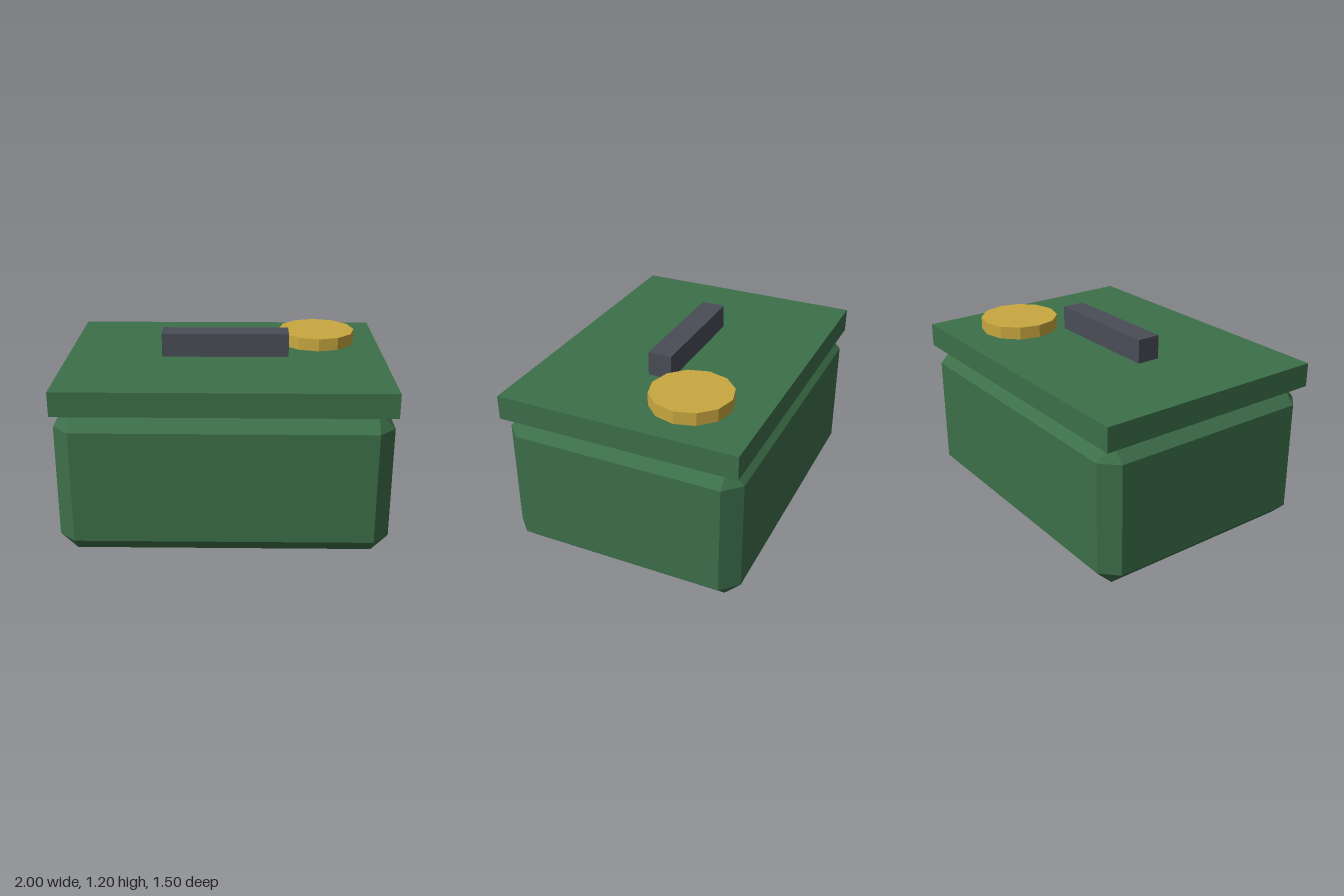
import * as THREE from 'three';
import { ConvexGeometry } from 'three/addons/geometries/ConvexGeometry.js';

// Box with every edge cut at 45 degrees
function chamferedBox(w, h, d, c) {
  const points = [];
  for (const sx of [-1, 1]) for (const sy of [-1, 1]) for (const sz of [-1, 1]) {
    const corner = new THREE.Vector3(sx * w / 2, sy * h / 2, sz * d / 2);
    const inner = new THREE.Vector3(sx * (w / 2 - c), sy * (h / 2 - c), sz * (d / 2 - c));
    for (const axis of ['x', 'y', 'z']) {
      const p = inner.clone();
      p[axis] = corner[axis];
      points.push(p);
    }
  }
  return new ConvexGeometry(points);
}

export function createModel() {
  const group = new THREE.Group();

  const material = (name, color) => {
    const m = new THREE.MeshStandardMaterial({ color });
    m.name = name;
    m.flatShading = true;
    return m;
  };
  const green = material('green', 0x3d6f4a);
  const grey = material('dark grey', 0x4a4d57);
  const gold = material('gold', 0xc9a840);

  const add = (name, geometry, mat, x, y, z) => {
    const mesh = new THREE.Mesh(geometry, mat);
    mesh.name = name;
    mesh.position.set(x, y, z);
    group.add(mesh);
  };

  // Chamfered body and flat lid
  add('body', chamferedBox(2, 0.9, 1.5, 0.1), green, 0, 0.45, 0);
  add('lid', new THREE.BoxGeometry(2, 0.15, 1.5), green, 0, 0.975, 0);

  // Bar handle and twelve-sided disc on the lid
  add('handle', new THREE.BoxGeometry(0.8, 0.15, 0.15), grey, 0, 1.125, 0);
  add('disc', new THREE.CylinderGeometry(0.25, 0.25, 0.08, 12), gold, 0.6, 1.09, -0.3);

  return group;
}
